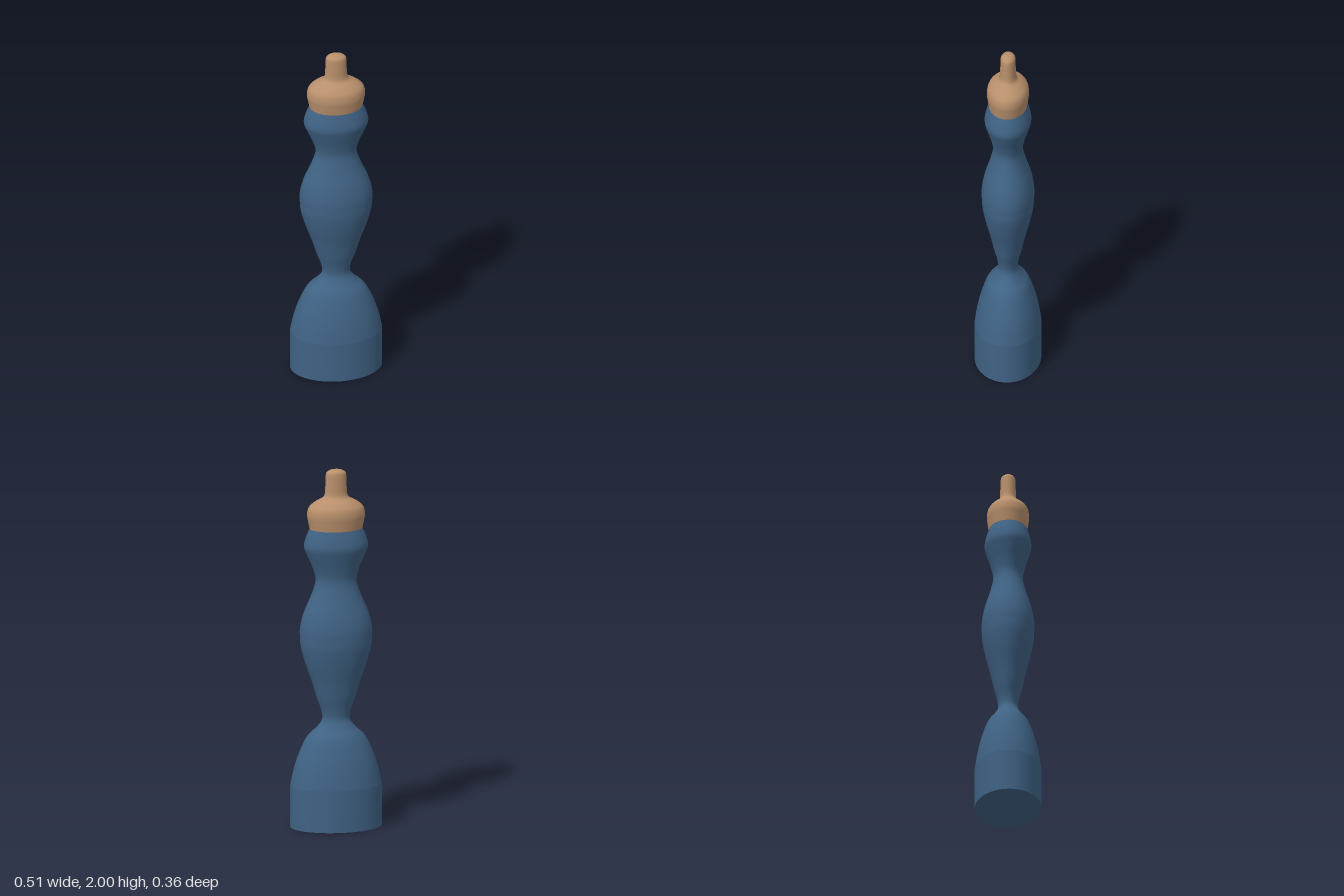
import * as THREE from 'three';

const DEPTH = 0.72; // oval cross-section: z radius relative to x radius
const SEAM = 1.67; // height where the body meets the cap

export function createModel() {
  const group = new THREE.Group();
  const blue = new THREE.MeshStandardMaterial({ name: 'blue', color: 0x3f6284 });
  const tan = new THREE.MeshStandardMaterial({ name: 'tan', color: 0xb88f6b });

  // Smooth profile as [radius, height] pairs
  const smooth = (pairs, n) =>
    new THREE.SplineCurve(pairs.map(([r, y]) => new THREE.Vector2(r, y))).getPoints(n);

  const add = (name, geometry, material) => {
    geometry.scale(1, 1, DEPTH);
    const mesh = new THREE.Mesh(geometry, material);
    mesh.name = name;
    group.add(mesh);
  };

  // Turned body: straight foot, bell, waist, long bulge, neck and collar
  const body = smooth([
    [0.253, 0.23], [0.234, 0.32], [0.205, 0.41], [0.162, 0.5], [0.107, 0.555],
    [0.077, 0.6], [0.083, 0.655], [0.106, 0.72], [0.133, 0.81], [0.168, 0.91],
    [0.193, 1.0], [0.199, 1.06], [0.198, 1.12], [0.178, 1.2], [0.136, 1.3],
    [0.113, 1.38], [0.129, 1.45], [0.159, 1.52], [0.177, 1.57], [0.167, 1.62],
    [0.146, SEAM],
  ], 120);
  body.unshift(new THREE.Vector2(0.253, 0));
  add('body', new THREE.LatheGeometry(body, 72), blue);

  // Flat underside
  add('base', new THREE.CircleGeometry(0.253, 72).rotateX(Math.PI / 2), blue);

  // Cap: rounded shoulder narrowing to a short stem
  const cap = smooth([
    [0.146, SEAM], [0.154, 1.71], [0.16, 1.75], [0.15, 1.79], [0.115, 1.82],
    [0.075, 1.842], [0.062, 1.865], [0.059, 1.91], [0.057, 1.965], [0.051, 1.985],
    [0.03, 1.997], [0, 2],
  ], 70);
  add('cap', new THREE.LatheGeometry(cap, 72), tan);

  return group;
}
